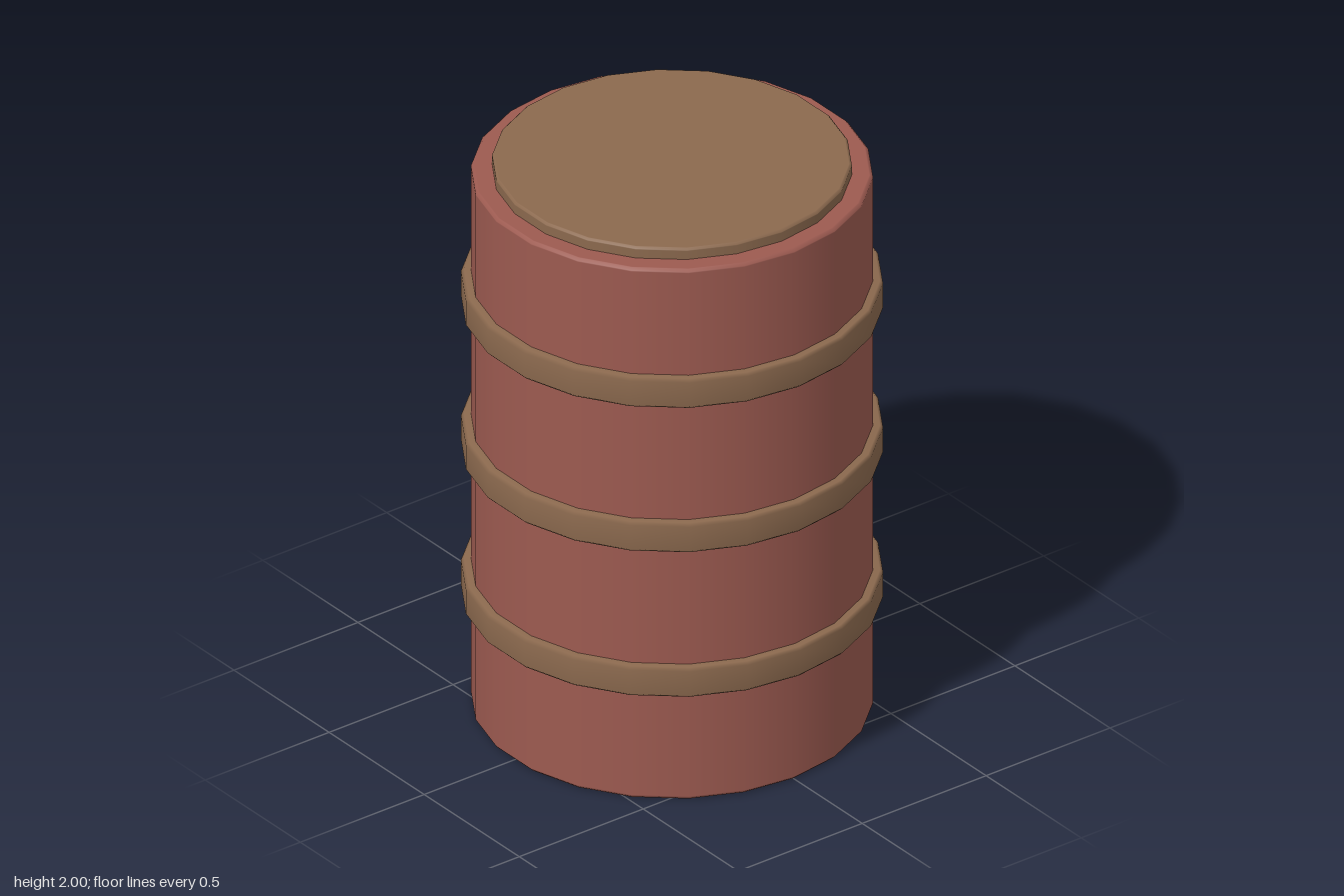
import * as THREE from 'three';

const SIDES = 22;
const red = new THREE.MeshStandardMaterial({ color: 0x9c5a50 });
const brown = new THREE.MeshStandardMaterial({ color: 0x8b694e });

// Turn a [radius, height] profile, listed from bottom to top, around the y axis
function turned(name, profile, material) {
  const points = profile.map(([r, y]) => new THREE.Vector2(r, y));
  const mesh = new THREE.Mesh(new THREE.LatheGeometry(points, SIDES), material);
  mesh.name = name;
  return mesh;
}

// Solid drum with slightly bevelled rims; extra loops keep its flat faces flat
function drum(name, radius, y0, y1, bevel, material) {
  const s = bevel * 0.5;
  return turned(name, [
    [0, y0], [radius - bevel - s, y0], [radius - bevel, y0],
    [radius, y0 + bevel], [radius, y0 + bevel + s],
    [radius, y1 - bevel - s], [radius, y1 - bevel],
    [radius - bevel, y1], [radius - bevel - s, y1], [0, y1],
  ], material);
}

export function createModel() {
  const barrel = new THREE.Group();
  barrel.name = 'barrel';

  barrel.add(drum('body', 0.645, 0, 1.96, 0.008, red));
  barrel.add(drum('lid', 0.577, 1.9, 2, 0.006, brown));

  // Three hoops around the body, with softly shaded edges
  const outer = 0.677, inner = 0.62, half = 0.054, bevel = 0.01;
  [0.448, 0.983, 1.517].forEach((y, i) => {
    barrel.add(turned(`hoop${i + 1}`, [
      [inner, y - half], [outer - bevel, y - half], [outer, y - half + bevel],
      [outer, y + half - bevel], [outer - bevel, y + half], [inner, y + half],
    ], brown));
  });

  return barrel;
}
